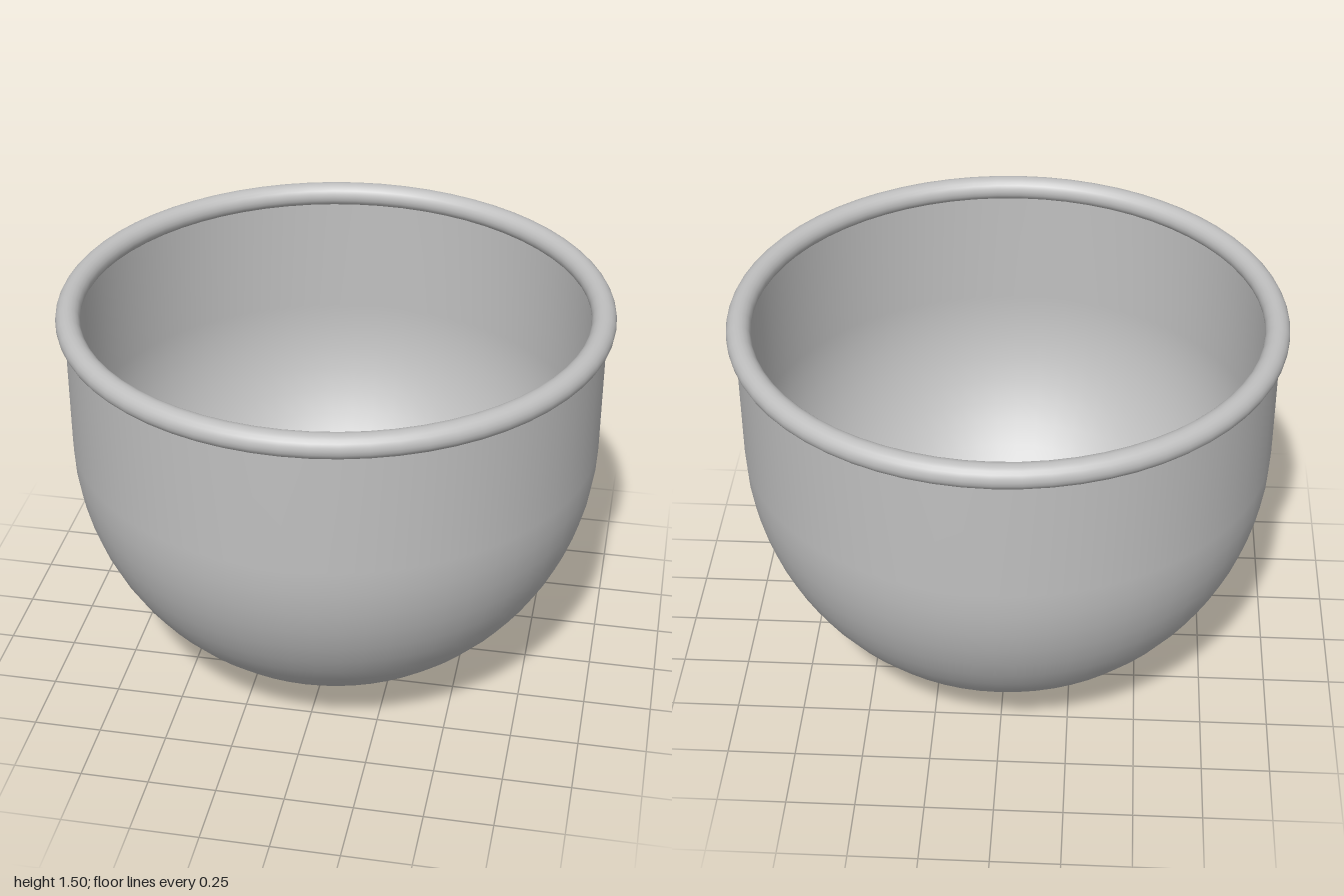
import * as THREE from 'three';

const RADIUS = 0.97;     // outer wall radius, also the height of the dome centre
const WALL = 0.03;       // wall thickness
const RIM_TUBE = 0.044;
const RIM_Y = 1.46;
const SEGMENTS = 64;

// Straight wall flowing into a hemispherical bottom, listed from the base upward
function cupProfile(radius) {
  const points = [];
  const steps = 16;
  for (let i = 0; i <= steps; i++) {
    const a = (i / steps) * Math.PI / 2;
    points.push(new THREE.Vector2(radius * Math.sin(a), RADIUS - radius * Math.cos(a)));
  }
  points[0].x = 0;
  points.push(new THREE.Vector2(radius, RIM_Y));
  return points;
}

export function createModel() {
  const group = new THREE.Group();
  group.name = 'bowl';
  const metal = new THREE.MeshStandardMaterial({ color: 0xc0c0c0 });
  metal.name = 'light grey metal';

  const add = (name, geometry) => {
    const mesh = new THREE.Mesh(geometry, metal);
    mesh.name = name;
    group.add(mesh);
    return mesh;
  };

  // Outer shell faces outward; the reversed inner profile faces inward
  add('outerShell', new THREE.LatheGeometry(cupProfile(RADIUS), SEGMENTS));
  add('innerShell', new THREE.LatheGeometry(cupProfile(RADIUS - WALL).reverse(), SEGMENTS));

  // Rolled rim covering the top edge of both shells
  const rim = add('rim', new THREE.TorusGeometry(1 - RIM_TUBE, RIM_TUBE, 20, SEGMENTS));
  rim.rotation.x = Math.PI / 2;
  rim.position.y = RIM_Y;

  return group;
}
